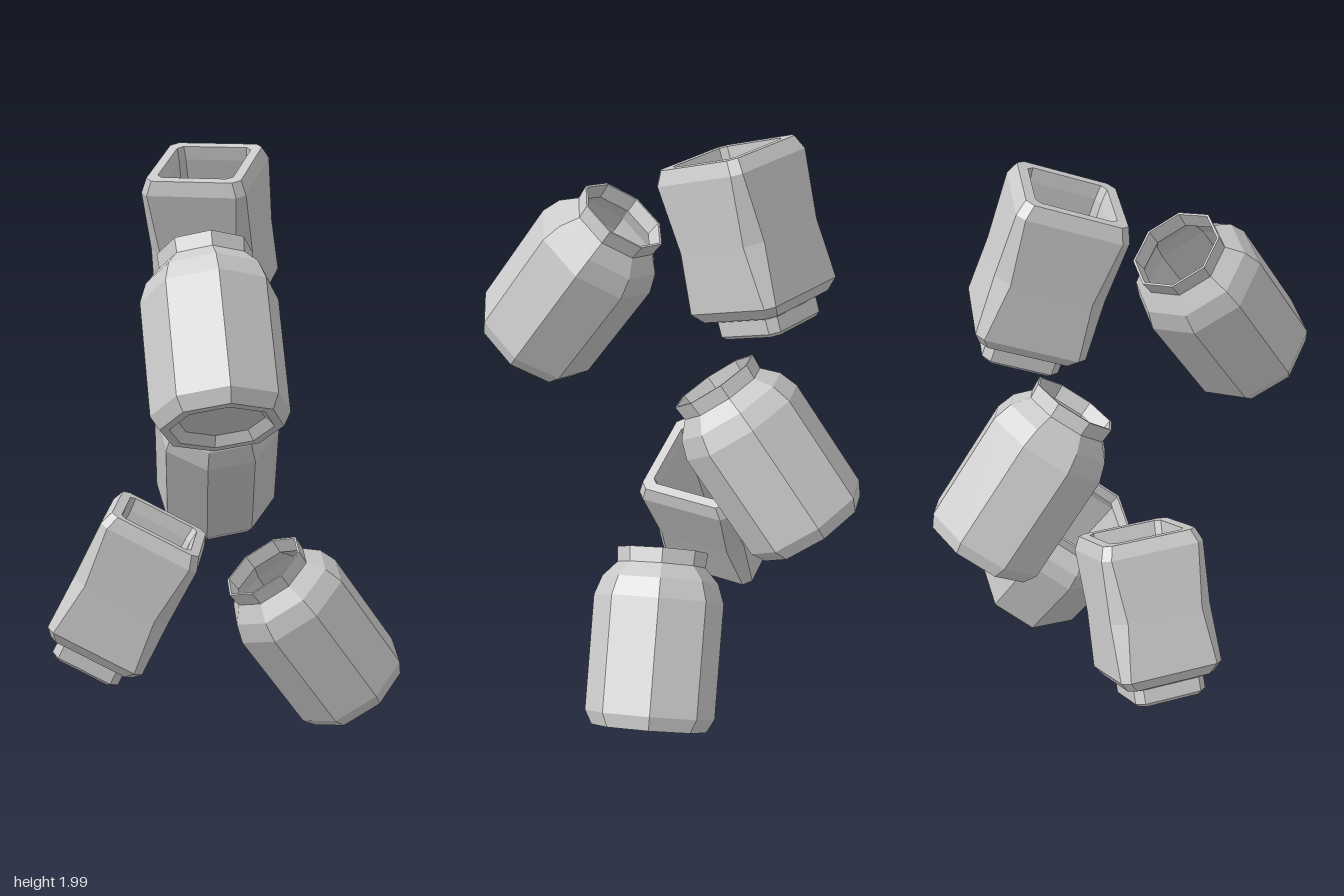
import * as THREE from 'three';

const material = new THREE.MeshStandardMaterial({ color: 0xcccccc, flatShading: true });

// Eight-sided jar: recessed base, straight body, sloped shoulder, short open neck
function jarGeometry() {
  const profile = [
    [0, 0.03], [0.135, 0.03], [0.16, 0], [0.19, 0], [0.215, 0.045],
    [0.217, 0.425], [0.194, 0.49], [0.148, 0.54], [0.152, 0.59],
    [0.144, 0.59], [0.138, 0.54], [0.184, 0.485], [0.206, 0.42], [0.204, 0.05], [0, 0.04],
  ].map(([r, y]) => new THREE.Vector2(r, y));
  return new THREE.LatheGeometry(profile, 8);
}

// Square ring with cut corners
function ring([half, cut, y]) {
  const k = half - cut;
  return [[half, k], [k, half], [-k, half], [-half, k], [-half, -k], [-k, -half], [k, -half], [half, -k]]
    .map(([x, z]) => [x, y, z]);
}

// Square pot: stepped foot, body with pinched corners, bevelled lip, hollow inside
function potGeometry() {
  const rings = [
    [0, 0, 0], [0.112, 0.022, 0], [0.124, 0.026, 0.012], [0.124, 0.026, 0.06],
    [0.152, 0.024, 0.07], [0.177, 0.026, 0.105], [0.175, 0.046, 0.3],
    [0.177, 0.026, 0.515], [0.16, 0.024, 0.56], [0.128, 0.018, 0.56],
    [0.124, 0.018, 0.515], [0.136, 0.025, 0.105], [0, 0, 0.105],
  ].map(ring);
  const positions = [];
  for (let i = 0; i < rings.length - 1; i++) {
    for (let j = 0; j < 8; j++) {
      const n = (j + 1) % 8;
      const a = rings[i][j], b = rings[i][n], c = rings[i + 1][n], d = rings[i + 1][j];
      // The first and last rings are single points, so they need one triangle per side
      if (i < rings.length - 2) positions.push(...a, ...d, ...c);
      if (i > 0) positions.push(...a, ...c, ...b);
    }
  }
  const geometry = new THREE.BufferGeometry();
  geometry.setAttribute('position', new THREE.Float32BufferAttribute(positions, 3));
  geometry.computeVertexNormals();
  return geometry;
}

// Stand a vessel on its base point with its mouth towards the second point
function place(name, geometry, base, mouth, spin = 0) {
  const mesh = new THREE.Mesh(geometry, material);
  mesh.name = name;
  const from = new THREE.Vector3(...base);
  const up = new THREE.Vector3(...mouth).sub(from).normalize();
  const lean = new THREE.Vector3(-up.x, 0, -up.z);
  const z = lean.addScaledVector(up, -lean.dot(up)).normalize();
  const x = new THREE.Vector3().crossVectors(up, z);
  mesh.quaternion.setFromRotationMatrix(new THREE.Matrix4().makeBasis(x, up, z));
  mesh.rotateY(spin);
  mesh.position.copy(from);
  return mesh;
}

export function createModel() {
  const group = new THREE.Group();
  group.name = 'tumblingVessels';
  const jar = jarGeometry();
  const pot = potGeometry();
  group.add(
    place('lowerJar', jar, [0.345, 0.108, -0.398], [0.135, 0.59, -0.125], 0.12),
    place('lowerPot', pot, [-0.352, 0.243, 0.222], [-0.135, 0.745, 0.09]),
    place('middleJar', jar, [-0.27, 0.7, -0.412], [-0.055, 1.175, -0.125], -0.15),
    place('upperJar', jar, [0.345, 1.192, 0.405], [0.105, 1.68, 0.165]),
    place('topPot', pot, [-0.163, 1.405, -0.292], [-0.1, 1.945, -0.113]),
  );
  return group;
}
